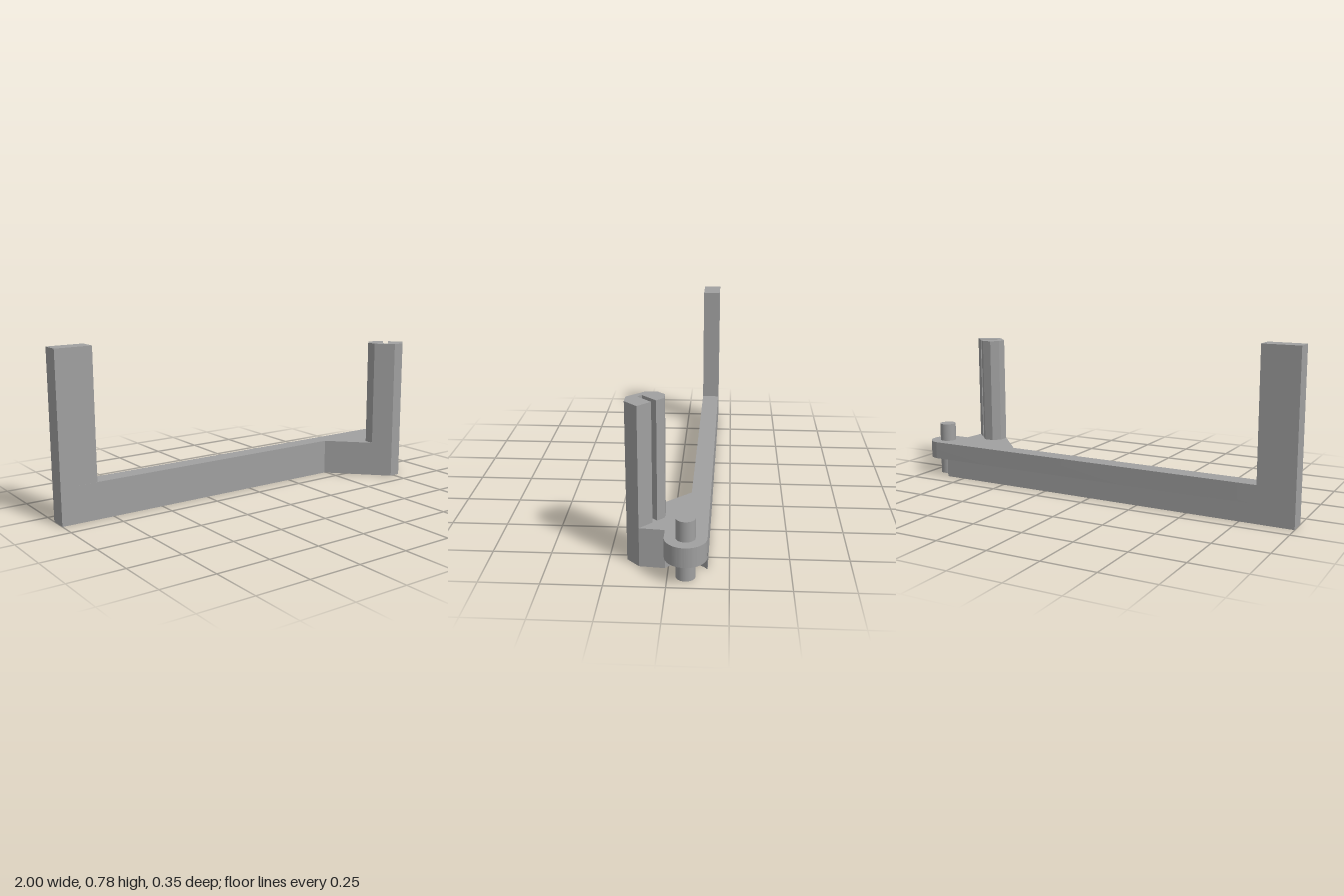
import * as THREE from 'three';
import { toCreasedNormals } from 'three/addons/utils/BufferGeometryUtils.js';

const PIN = { x: 0.91, z: -0.074 };
const LUG_R = 0.087;
const BASE_H = 0.174;
const STEP_H = 0.088;

// Plan outline shared by both layers of the base, as [x, z]
const BASE = [
  [-1, -0.177], [-1, -0.09], [0.49, -0.08], [0.73, 0.175],
  [0.785, 0.175], [0.84, 0.12], [0.85, 0.013],
];

function plan(points) {
  return new THREE.Shape(points.map(([x, z]) => new THREE.Vector2(x, -z)));
}

// Extrude a plan shape upward between two heights
function slab(name, shape, y0, y1, material) {
  let geo = new THREE.ExtrudeGeometry(shape, { depth: y1 - y0, bevelEnabled: false, curveSegments: 32 });
  geo.rotateX(-Math.PI / 2);
  geo.translate(0, y0, 0);
  geo = toCreasedNormals(geo, 0.4);
  const mesh = new THREE.Mesh(geo, material);
  mesh.name = name;
  return mesh;
}

export function createModel() {
  const group = new THREE.Group();
  group.name = 'bracket';
  const grey = new THREE.MeshStandardMaterial({ color: 0xa0a0a0 });
  grey.name = 'grey';

  // Lower layer, with a concave clearance around the pin
  const lower = plan(BASE);
  const dx = 0.06, r = Math.hypot(dx, LUG_R);
  const a = Math.atan2(LUG_R, dx);
  lower.absarc(PIN.x, -PIN.z, r, -Math.PI + a, Math.PI - a, true);
  group.add(slab('lowerArm', lower, 0, STEP_H, grey));

  // Upper layer, ending in the round hinge lug
  const upper = plan(BASE);
  upper.lineTo(PIN.x, -PIN.z - LUG_R);
  upper.absarc(PIN.x, -PIN.z, LUG_R, -Math.PI / 2, Math.PI / 2, false);
  group.add(slab('upperArmWithLug', upper, STEP_H, BASE_H, grey));

  // Upright at the far end
  group.add(slab('endUpright',
    plan([[-1, -0.177], [-1, -0.09], [-0.826, -0.089], [-0.826, -0.176]]), BASE_H, 0.783, grey));

  // Faceted post with a diagonal slot
  group.add(slab('slottedPost', plan([
    [0.66, 0.1], [0.73, 0.175], [0.785, 0.175], [0.84, 0.12],
    [0.787, 0.068], [0.725, 0.13], [0.707, 0.112], [0.769, 0.05],
    [0.738, 0.02], [0.692, 0.02], [0.66, 0.052],
  ]), BASE_H, 0.697, grey));

  // Hinge pin
  const pin = new THREE.Mesh(new THREE.CylinderGeometry(0.04, 0.04, 0.262, 40), grey);
  pin.name = 'hingePin';
  pin.position.set(PIN.x, 0.131, PIN.z);
  group.add(pin);

  return group;
}
